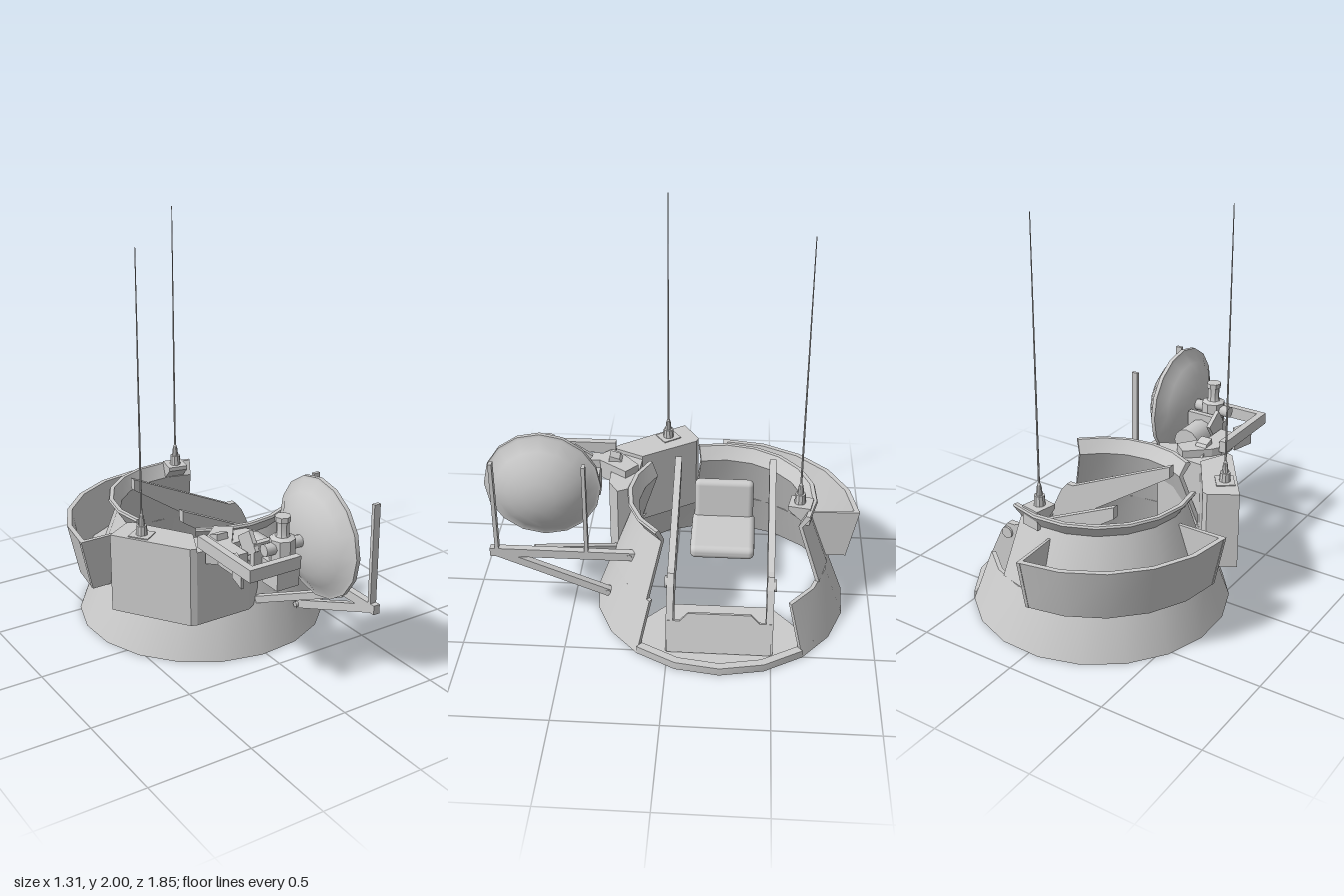
import * as THREE from 'three';
import { toCreasedNormals } from 'three/addons/utils/BufferGeometryUtils.js';
import { RoundedBoxGeometry } from 'three/addons/geometries/RoundedBoxGeometry.js';

const CX = 0.025, CZ = -0.24; // axis of the round shell
const rad = THREE.MathUtils.degToRad;

export function createModel() {
  const model = new THREE.Group();
  const mat = new THREE.MeshStandardMaterial({ color: 0xcccccc, side: THREE.DoubleSide });

  const add = (name, geo, x = 0, y = 0, z = 0) => {
    const mesh = new THREE.Mesh(geo, mat);
    mesh.name = name;
    mesh.position.set(x, y, z);
    model.add(mesh);
    return mesh;
  };
  const shapeOf = pts => new THREE.Shape(pts.map(p => new THREE.Vector2(...p)));
  const extrude = (pts, depth, steps = 1) =>
    new THREE.ExtrudeGeometry(shapeOf(pts), { depth, steps, bevelEnabled: false });
  const box = (name, x0, x1, y0, y1, z0, z1) =>
    add(name, new THREE.BoxGeometry(x1 - x0, y1 - y0, z1 - z0), (x0 + x1) / 2, (y0 + y1) / 2, (z0 + z1) / 2);

  // Sweep an (r, y) section around the shell axis between two angles
  const sweep = (name, section, start, end, steps) => {
    const geo = extrude(section, 1, steps);
    const p = geo.attributes.position;
    for (let i = 0; i < p.count; i++) {
      const r = p.getX(i), a = rad(start + (end - start) * p.getZ(i));
      p.setX(i, CX + r * Math.cos(a));
      p.setZ(i, CZ + r * Math.sin(a));
    }
    return add(name, toCreasedNormals(geo, 0.5));
  };
  // Plan outline given as (x, z), standing between two heights
  const slab = (name, plan, y0, y1) => {
    const geo = extrude(plan.map(([x, z]) => [x, -z]), y1 - y0);
    geo.rotateX(-Math.PI / 2);
    return add(name, geo, 0, y0, 0);
  };
  // Square bar between two points
  const bar = (name, a, b, w, h) => {
    const from = new THREE.Vector3(...a), to = new THREE.Vector3(...b);
    const mesh = add(name, new THREE.BoxGeometry(w, h, from.distanceTo(to)));
    mesh.position.copy(from).lerp(to, 0.5);
    mesh.lookAt(to);
    return mesh;
  };
  const lathe = (pts, sides) =>
    toCreasedNormals(new THREE.LatheGeometry(pts.map(p => new THREE.Vector2(...p)), sides), 0.6);

  // Conical shell: skirt, then two stretches of upper wall with a flared rim
  sweep('shellSkirt', [[0.63, 0], [0.535, 0.26], [0.515, 0.26], [0.61, 0]], 38, 319, 15);
  const wall = [[0.535, 0.26], [0.43, 0.55], [0.47, 0.61], [0.465, 0.62], [0.445, 0.62], [0.41, 0.55], [0.515, 0.26]];
  sweep('shellWallFront', wall, 40, 125, 5);
  sweep('shellWallRear', wall, 163, 294, 7);
  sweep('openingSill', [[0.59, 0], [0.63, 0], [0.63, 0.04], [0.59, 0.04]], -41, 38, 4);

  // Part floor under the opening, narrowing to the inside
  const floor = [[0.18, 0.01], [0.18, -0.5]];
  for (let a = -50; a <= 50; a += 20) {
    floor.push([CX + 0.61 * Math.cos(rad(a)), CZ + 0.61 * Math.sin(rad(a))]);
  }
  slab('floor', floor, 0, 0.035);

  // Open stowage bin around the rear right
  sweep('stowageBin', [[0.525, 0.25], [0.63, 0.25], [0.685, 0.51], [0.66, 0.51], [0.61, 0.28], [0.525, 0.28]],
    180, 268, 5);
  const binEnd = [[0.53, 0.25], [0.63, 0.25], [0.685, 0.51], [0.44, 0.51]];
  sweep('binEndFront', binEnd, 179, 181, 1);
  sweep('binEndRear', binEnd, 266.5, 268, 1);

  // Faceted equipment housing filling the gap at the front right
  slab('equipmentHousing', [[-0.61, -0.02], [-0.59, 0.01], [-0.38, 0.32], [-0.35, 0.33], [-0.28, 0.18],
    [-0.45, -0.09], [-0.48, -0.1]], 0.23, 0.62);
  slab('frontHousing', [[-0.35, 0.33], [-0.06, 0.33], [0.02, 0.28], [-0.02, 0.2], [-0.28, 0.18]], 0.23, 0.6);
  const cover = add('housingCover', new THREE.BoxGeometry(0.1, 0.01, 0.09), -0.485, 0.62, 0.06);
  cover.rotation.y = -0.95;

  // Cradle: two sloping side arms with outer pivots, joined by a raked panel
  for (const [z, out] of [[-0.49, -1], [-0.01, 1]]) {
    const arm = extrude([[-0.23, 0.66], [-0.23, 0.6], [0.3, 0.24], [0.42, 0.04], [0.54, 0.04],
      [0.5, 0.19], [0.43, 0.34], [0.39, 0.39], [0.35, 0.39]], 0.034);
    add('cradleArm', arm, 0, 0, z - 0.017);
    const pivot = add('cradlePivot', new THREE.CylinderGeometry(0.03, 0.03, 0.02, 12), 0.39, 0.34, z + out * 0.018);
    pivot.rotation.x = Math.PI / 2;
  }
  const panel = extrude([[-0.25, 0], [0.25, 0], [0.25, 0.16], [0.19, 0.16], [0.15, 0.2],
    [-0.15, 0.2], [-0.19, 0.16], [-0.25, 0.16]], 0.02);
  const panelMesh = add('cradlePanel', panel, 0.53, 0.035, -0.25);
  panelMesh.rotation.y = Math.PI / 2;
  panelMesh.rotateX(-0.3);

  // Seat
  add('seatCushion', new RoundedBoxGeometry(0.35, 0.07, 0.33, 3, 0.03), -0.175, 0.22, -0.245);
  const back = add('seatBack', new RoundedBoxGeometry(0.06, 0.26, 0.31, 3, 0.028), -0.335, 0.32, -0.245);
  back.rotation.z = 0.13;

  // Whip antennas on stepped bases
  for (const [x, z, y, tip] of [[-0.485, 0.06, 0.62, 1.97], [0.1, -0.62, 0.63, 2]]) {
    add('antennaBase', lathe([[0, 0], [0.028, 0], [0.025, 0.05], [0.016, 0.05], [0.012, 0.09],
      [0.006, 0.11], [0, 0.11]], 10), x, y, z);
    const top = tip - y;
    add('antennaWhip', lathe([[0.005, 0.08], [0.004, 0.6], [0.002, top], [0, top]], 6), x, y, z);
  }
  const bracket = extrude([[0.06, -0.085], [0.04, -0.085], [-0.05, -0.01], [-0.05, 0.01], [0.06, 0.01]], 0.1);
  bracket.translate(0, 0, -0.05);
  bracket.rotateY(Math.PI / 2 - 0.2);
  add('antennaBracket', bracket, 0.1, 0.62, -0.62);

  // Lens-shaped dish facing sideways with a raised edge ring
  const dish = add('dish', lathe([[0, -0.1], [0.08, -0.098], [0.16, -0.078], [0.22, -0.046], [0.272, -0.01],
    [0.287, -0.008], [0.287, 0.012], [0.272, 0.014], [0.22, 0.058], [0.16, 0.098], [0.08, 0.126],
    [0, 0.132]], 16), 0.105, 0.685, 0.635);
  dish.rotation.z = -Math.PI / 2;

  // Dish pedestal with its drive
  add('pedestalBody', lathe([[0, 0.62], [0.06, 0.62], [0.06, 0.73], [0.035, 0.74], [0.03, 0.75],
    [0.03, 0.81], [0.037, 0.81], [0.037, 0.835], [0, 0.835]], 8), -0.09, 0, 0.63);
  const axle = add('dishAxle', new THREE.CylinderGeometry(0.03, 0.03, 0.23, 8), -0.075, 0.69, 0.63);
  axle.rotation.z = Math.PI / 2;
  const motor = add('driveMotor', new THREE.CylinderGeometry(0.07, 0.07, 0.16, 12), -0.08, 0.59, 0.455);
  motor.rotation.x = Math.PI / 2;
  box('motorPlate', -0.19, 0, 0.53, 0.69, 0.525, 0.555);
  box('pedestalFoot', -0.15, -0.03, 0.5, 0.62, 0.56, 0.68);

  // Angled support frame carrying the pedestal
  box('supportSide', -0.34, -0.305, 0.62, 0.68, 0.32, 0.745);
  box('supportFront', -0.305, -0.07, 0.62, 0.68, 0.71, 0.745);
  slab('supportArm', [[-0.17, 0.19], [-0.1, 0.25], [-0.2, 0.39], [-0.2, 0.52], [-0.27, 0.52], [-0.27, 0.38],
    [-0.31, 0.34], [-0.28, 0.29]], 0.54, 0.64);
  slab('supportFin', [[-0.285, 0.52], [-0.265, 0.53], [-0.3, 0.64], [-0.315, 0.64]], 0.54, 0.66);
  bar('supportRib', [-0.18, 0.64, 0.45], [-0.18, 0.7, 0.54], 0.02, 0.1);
  const knee = extrude([[-0.22, 0.54], [-0.24, 0.59], [-0.29, 0.655], [-0.34, 0.67], [-0.36, 0.55]], 0.06);
  knee.rotateY(Math.PI / 2);
  add('supportKnee', knee, -0.25, 0, 0);

  // Guard frame beside the dish
  const gx = 0.255;
  bar('guardBeam', [gx, 0.385, 0.17], [gx, 0.385, 0.885], 0.034, 0.045);
  bar('guardStrut', [gx, 0.16, 0.3], [gx, 0.385, 0.86], 0.034, 0.04);
  bar('guardBrace', [0.01, 0.25, 0.29], [0.23, 0.385, 0.67], 0.03, 0.035);
  for (const z of [0.41, 0.85]) box('guardPost', gx - 0.017, gx + 0.017, 0.37, 0.89, z - 0.009, z + 0.009);
  for (const [y, z] of [[0.385, 0.2], [0.165, 0.31]]) {
    const pin = add('guardPin', new THREE.CylinderGeometry(0.014, 0.014, 0.05, 8), gx - 0.006, y, z);
    pin.rotation.z = Math.PI / 2;
  }
  return model;
}
